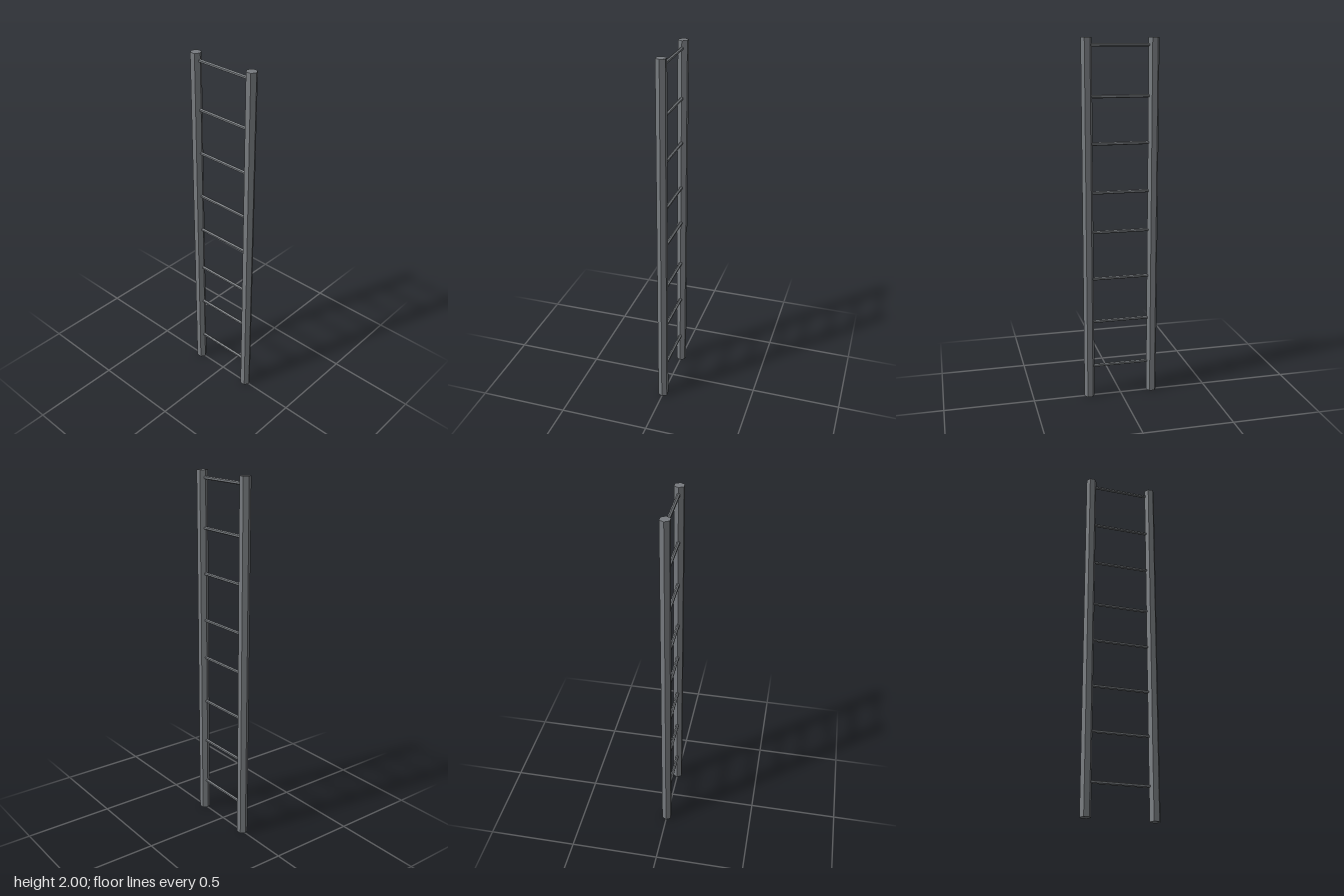
import * as THREE from 'three';

export function createModel() {
  const model = new THREE.Group();
  model.name = 'ladder';
  const steel = new THREE.MeshStandardMaterial({ color: 0x787c80, flatShading: true });
  steel.name = 'steel grey';

  // Two upright hexagonal rails, ridges facing front and back
  const railGeometry = new THREE.CylinderGeometry(0.0295, 0.0295, 2, 6);
  for (const side of [1, -1]) {
    const rail = new THREE.Mesh(railGeometry, steel);
    rail.name = side > 0 ? 'frontRail' : 'backRail';
    rail.position.set(0, 1, side * 0.182);
    model.add(rail);
  }

  // Thin hexagonal rungs, unevenly spaced, running between the rails
  const rungGeometry = new THREE.CylinderGeometry(0.0092, 0.0092, 0.33, 6);
  rungGeometry.rotateX(Math.PI / 2);
  const rungHeights = [0.18, 0.445, 0.695, 0.96, 1.18, 1.445, 1.695, 1.96];
  rungHeights.forEach((y, i) => {
    const rung = new THREE.Mesh(rungGeometry, steel);
    rung.name = `rung${i + 1}`;
    rung.position.y = y;
    model.add(rung);
  });

  return model;
}
